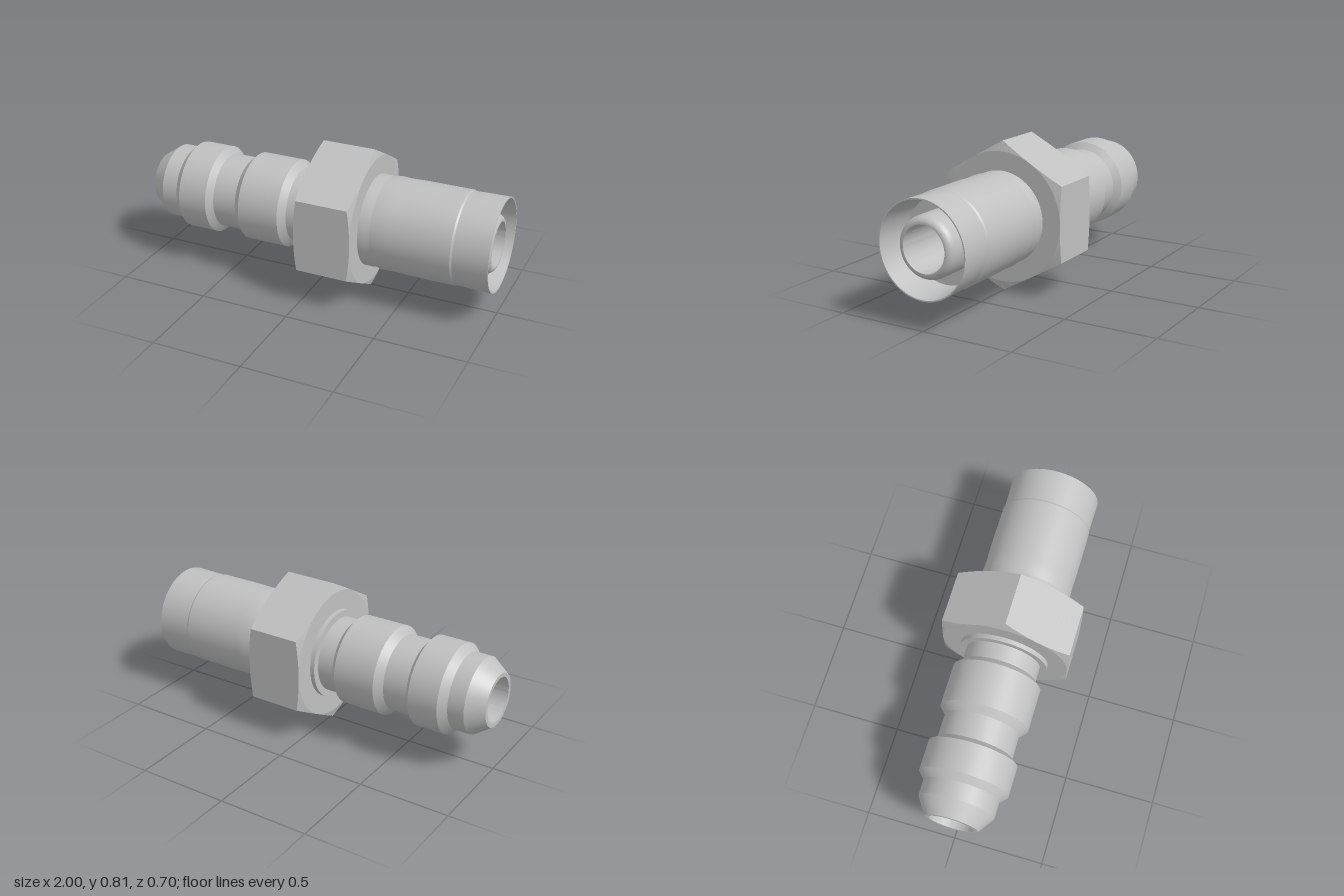
import * as THREE from 'three';
import { toCreasedNormals } from 'three/addons/utils/BufferGeometryUtils.js';

const AXIS_Y = 0.4075;
const BORE = 0.122;

// Revolve [x, radius] points about the x axis
function revolve(points, material, name) {
  const pts = points.map(([x, r]) => new THREE.Vector2(r, x));
  const geo = toCreasedNormals(new THREE.LatheGeometry(pts, 80), 0.35);
  geo.rotateZ(-Math.PI / 2);
  const mesh = new THREE.Mesh(geo, material);
  mesh.name = name;
  return mesh;
}

// Hexagonal collar whose corners are cut by a shallow cone at both ends
function hexCollar(x0, x1, apothem, inner, slope) {
  const n = 96, pos = [];
  const rings = (i) => {
    const t = (i / n) * Math.PI * 2;
    const sector = Math.PI / 3;
    const off = (t % sector) - sector / 2;
    const h = apothem / Math.cos(off);
    const cut = (h - apothem) * slope;
    const p = (x, r) => [x, Math.cos(t) * r, Math.sin(t) * r];
    return [p(x0, inner), p(x0, apothem), p(x0 + cut, h), p(x1 - cut, h), p(x1, apothem), p(x1, inner)];
  };
  for (let i = 0; i < n; i++) {
    const a = rings(i), b = rings((i + 1) % n);
    for (let k = 0; k < a.length - 1; k++) {
      pos.push(...a[k], ...b[k + 1], ...a[k + 1], ...a[k], ...b[k], ...b[k + 1]);
    }
  }
  const geo = new THREE.BufferGeometry();
  geo.setAttribute('position', new THREE.Float32BufferAttribute(pos, 3));
  geo.computeVertexNormals();
  return geo;
}

export function createModel() {
  const steel = new THREE.MeshStandardMaterial({ color: 0xc0c0c0 });
  steel.name = 'steel';

  const fitting = new THREE.Group();
  fitting.name = 'fitting';
  fitting.position.y = AXIS_Y;

  // Grooved plug with tapered tip
  fitting.add(revolve([
    [-1, BORE], [-1, 0.145], [-0.91, 0.207], [-0.82, 0.207], [-0.78, 0.245],
    [-0.615, 0.245], [-0.585, 0.207], [-0.45, 0.207], [-0.41, 0.245],
    [-0.175, 0.245], [-0.14, 0.207], [-0.05, 0.207], [-0.05, 0.245], [-0.02, 0.245],
  ], steel, 'plug'));

  // Wrench collar
  const collar = new THREE.Mesh(hexCollar(-0.025, 0.295, 0.352, 0.2, 0.3), steel);
  collar.name = 'hexCollar';
  fitting.add(collar);

  // Outer sleeve with flared socket and thin rim
  fitting.add(revolve([
    [0.29, 0.25], [0.34, 0.25], [0.36, 0.247], [0.4, 0.255], [0.46, 0.252],
    [0.54, 0.255], [0.8, 0.255], [0.81, 0.25], [0.9, 0.252], [1, 0.254],
    [1, 0.247], [0.8, 0.228], [0.8, 0.15],
  ], steel, 'sleeve'));

  // Inner nozzle with rounded nose, and the through bore
  const nose = [[0.79, 0.161], [0.93, 0.161]];
  for (let i = 1; i <= 10; i++) {
    const t = (i / 10) * Math.PI / 2;
    nose.push([0.93 + 0.05 * Math.sin(t), 0.126 + 0.035 * Math.cos(t)]);
  }
  nose.push([0.98, BORE], [-1, BORE]);
  fitting.add(revolve(nose, steel, 'nozzleAndBore'));

  const model = new THREE.Group();
  model.name = 'hoseFitting';
  model.add(fitting);
  return model;
}
